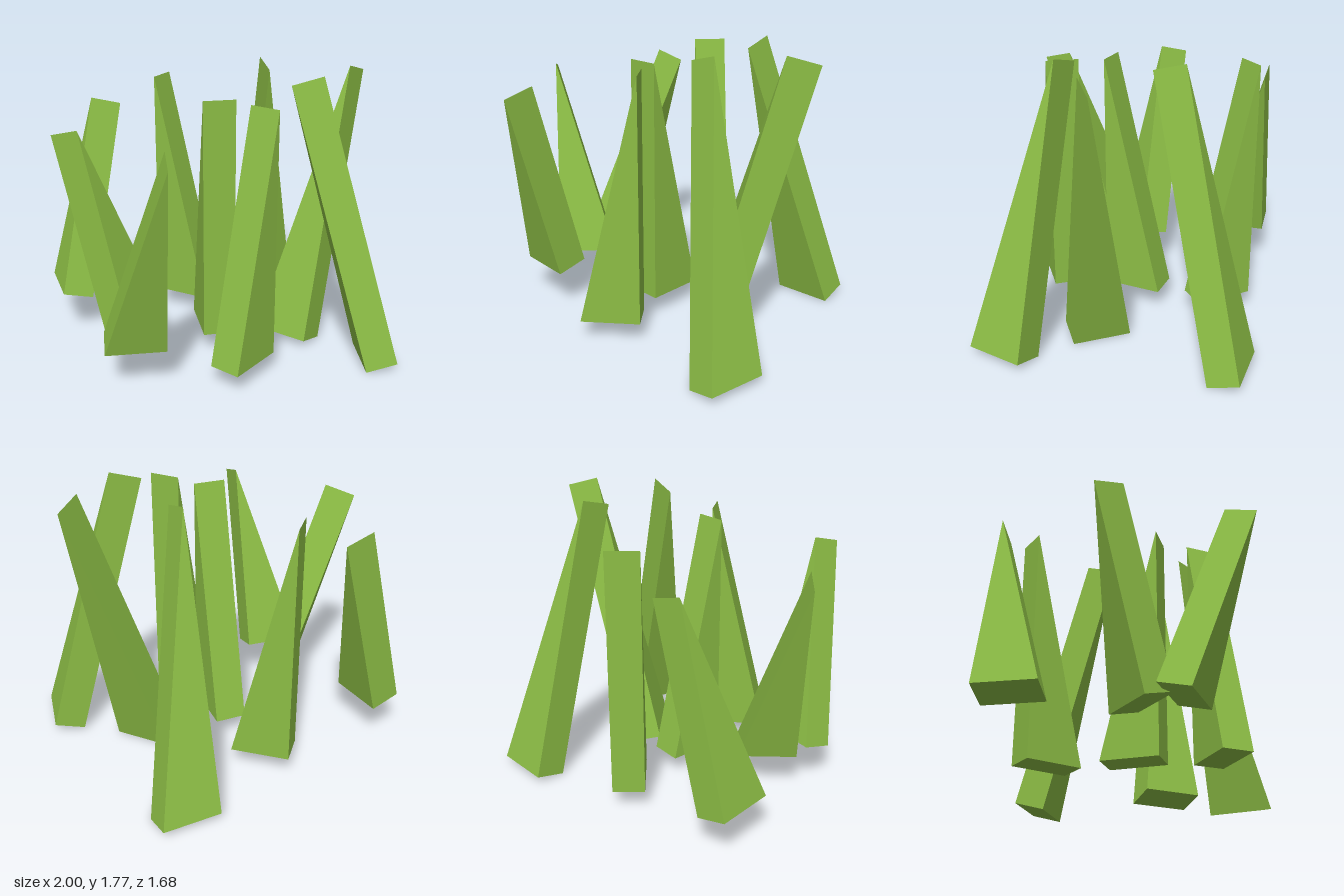
import * as THREE from 'three';

const WIDTH = 0.198, LENGTH = 0.364;

// Wedge: upright edge over the origin, slope running down to a toe at +z
function wedgeGeometry(height) {
  const side = new THREE.Shape([
    new THREE.Vector2(0, 0),
    new THREE.Vector2(LENGTH, 0),
    new THREE.Vector2(0, height),
  ]);
  return new THREE.ExtrudeGeometry(side, { depth: WIDTH, bevelEnabled: false })
    .translate(0, 0, -WIDTH / 2)
    .rotateY(-Math.PI / 2);
}

export function createModel() {
  const model = new THREE.Group();
  model.name = 'grassTuft';
  const green = new THREE.MeshStandardMaterial({ color: 0x8cbd45, flatShading: true });

  // Three rows of blades: height, base level, sideways lean, then [x, z, heading in degrees]
  const rows = [
    { name: 'tallBlade', height: 1.78, y: 0.0275, lean: 15,
      blades: [[0.46, -0.747, 86], [0.542, 0.302, -144.7], [0.892, 0.435, -15.7]] },
    { name: 'uprightBlade', height: 1.52, y: 0.13, lean: 0,
      blades: [[-0.16, -0.64, 43.3], [-0.06, 0.203, 172], [0.12, 0.453, -58.5]] },
    { name: 'shortBlade', height: 1.25, y: 0.285, lean: -15,
      blades: [[-0.855, -0.69, 0], [-0.728, 0.27, 130.8], [-0.48, 0.428, -101.8]] },
  ];

  for (const { name, height, y, lean, blades } of rows) {
    const geometry = wedgeGeometry(height);
    blades.forEach(([x, z, heading], i) => {
      const blade = new THREE.Mesh(geometry, green);
      blade.name = name + (i + 1);
      blade.position.set(x, y, z);
      blade.rotation.set(0, THREE.MathUtils.degToRad(heading), THREE.MathUtils.degToRad(lean), 'YXZ');
      model.add(blade);
    });
  }
  return model;
}
